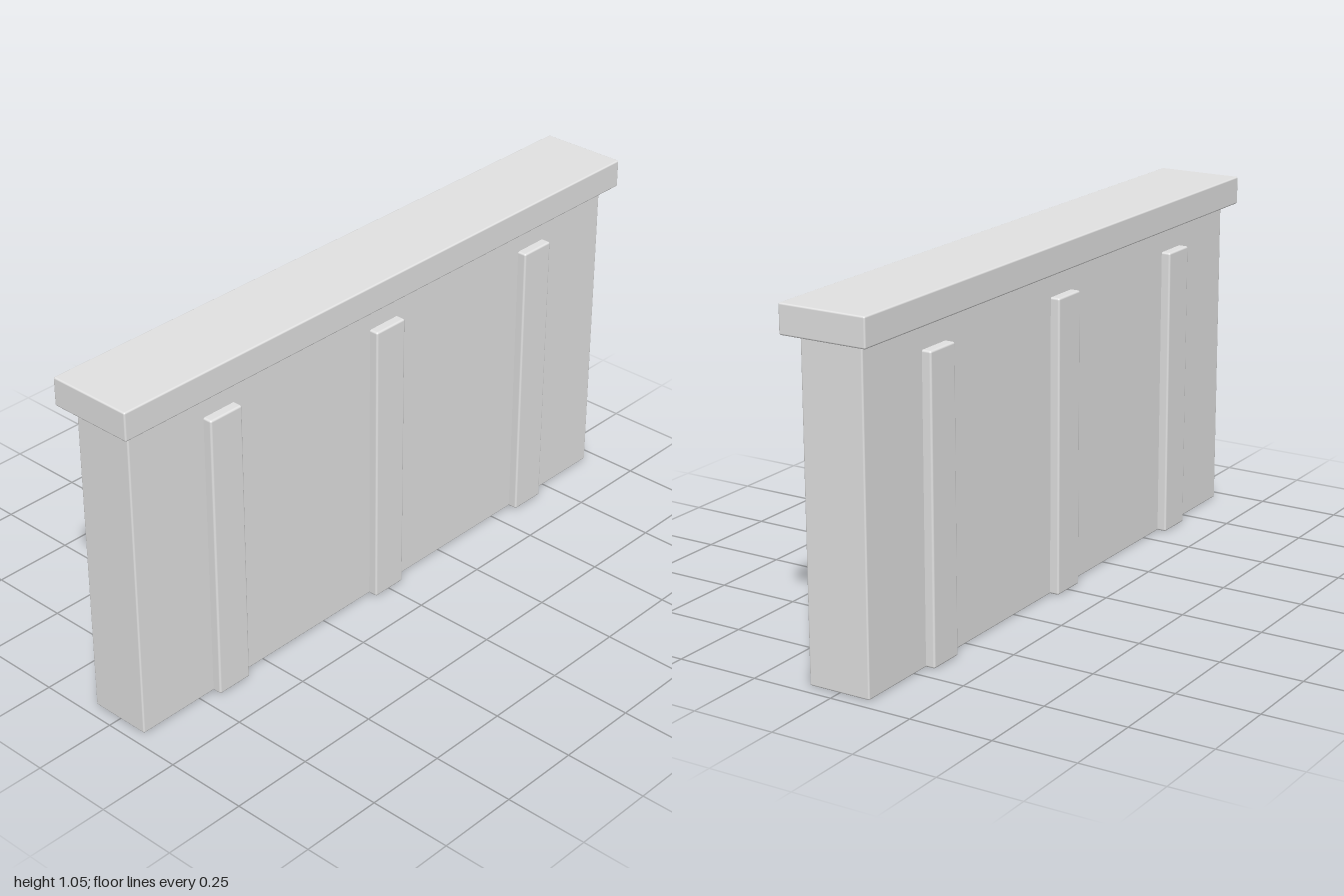
import * as THREE from 'three';
import { RoundedBoxGeometry } from 'three/addons/geometries/RoundedBoxGeometry.js';

export function createModel() {
  const group = new THREE.Group();
  const concrete = new THREE.MeshStandardMaterial({ color: 0xe3e3e3 });
  concrete.name = 'pale concrete';

  // Block with softened edges, placed by its centre x and z and its base y
  function block(name, w, h, d, x, y, z, bevel) {
    const mesh = new THREE.Mesh(new RoundedBoxGeometry(w, h, d, 2, bevel), concrete);
    mesh.name = name;
    mesh.position.set(x, y + h / 2, z);
    group.add(mesh);
  }

  // Wall slab and overhanging coping
  block('wall', 1.922, 0.964, 0.192, 0, 0, 0, 0.005);
  block('coping', 2, 0.085, 0.267, 0, 0.962, 0, 0.005);

  // Three pilasters on each face, sunk slightly into the wall
  for (const side of [1, -1]) {
    for (const x of [-0.64, 0, 0.64]) {
      block(side > 0 ? 'frontPilaster' : 'backPilaster', 0.115, 0.885, 0.05, x, 0, side * 0.099, 0.006);
    }
  }
  return group;
}
